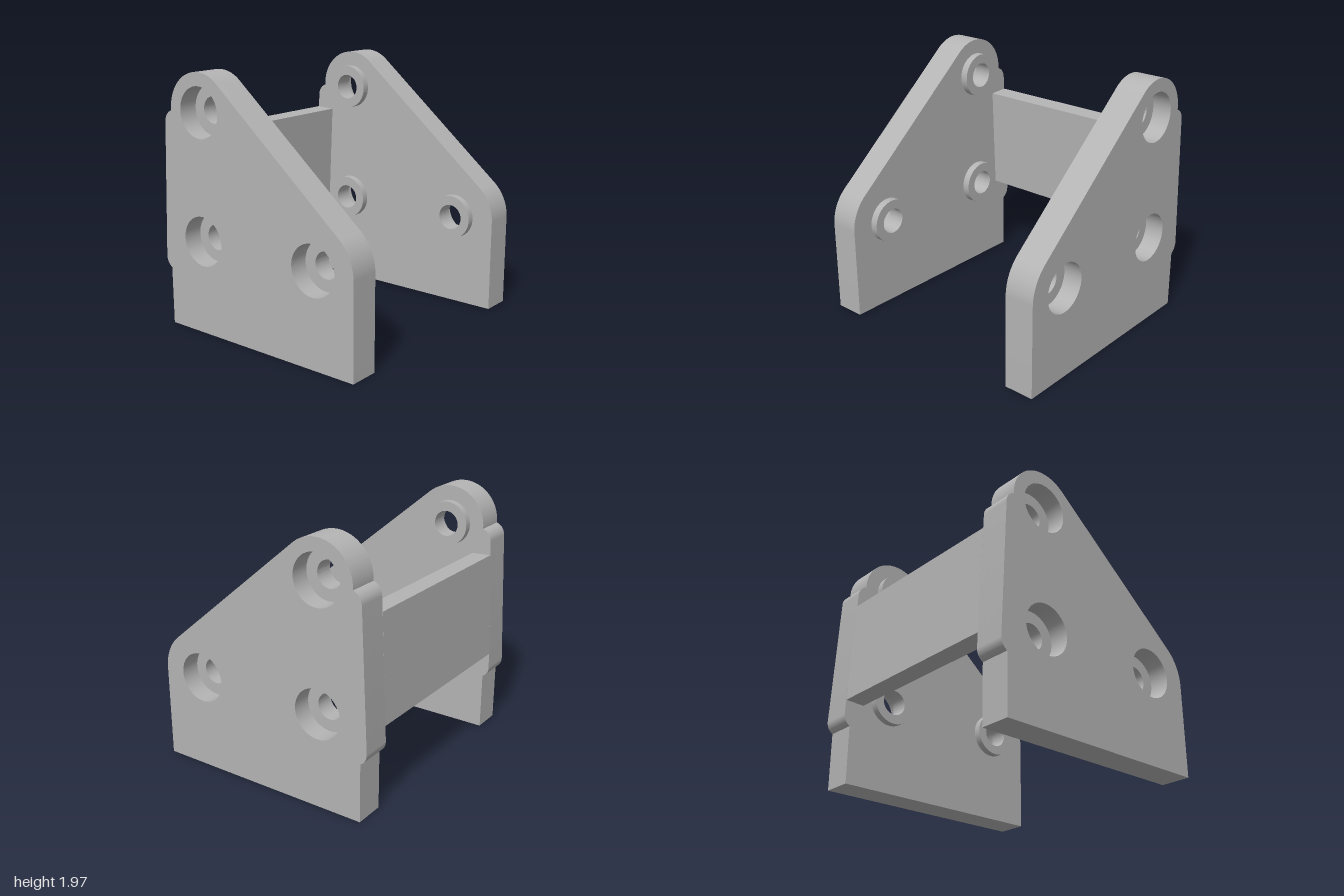
import * as THREE from 'three';
import { toCreasedNormals } from 'three/addons/utils/BufferGeometryUtils.js';

const HOLES = [[-0.5, 1.68], [-0.5, 0.72], [0.555, 0.72]];
const BORE = 0.1, COUNTERBORE = 0.19, BOSS = 0.175;
const OUTER = 1, STEP = 0.85, INNER = 0.765, BOSS_END = 0.705;
const TILT = 0.044; // lean of the rear edge, in radians

function circleHole(x, y, r) {
  return new THREE.Path().absarc(x, y, r, 0, Math.PI * 2, true);
}

// Side plate outline with rounded corners, a sloping edge and a raised rear rib
function plateOutline(holeRadius) {
  const slope = Math.atan2(0.767, 0.64);
  const s = new THREE.Shape();
  s.moveTo(-0.855, 0);
  s.lineTo(0.905, 0);
  s.absarc(0.555, 0.72, 0.35, 0, slope, false);
  s.absarc(-0.5, 1.68, 0.29, slope, Math.PI + 0.03, false);
  s.absarc(-0.76, 1.575, 0.098, 1.88, Math.PI - TILT, false);
  s.absarc(-0.81, 0.535, 0.096, Math.PI - TILT, Math.PI + 1.077, false);
  s.closePath();
  for (const [x, y] of HOLES) s.holes.push(circleHole(x, y, holeRadius));
  return s;
}

function ring(x, y) {
  const s = new THREE.Shape();
  s.absarc(x, y, BOSS, 0, Math.PI * 2, false);
  s.holes.push(circleHole(x, y, BORE));
  return s;
}

export function createModel() {
  const model = new THREE.Group();
  model.name = 'bracket';
  const grey = new THREE.MeshStandardMaterial({ color: 0xb4b4b4 });
  grey.name = 'grey';

  // Extrude a shape between two depths, on the front (+1) or back (-1) side
  const slab = (name, shape, near, far, side, parent) => {
    const geo = new THREE.ExtrudeGeometry(shape, { depth: far - near, bevelEnabled: false, curveSegments: 32 });
    geo.translate(0, 0, side > 0 ? near : -far);
    const mesh = new THREE.Mesh(toCreasedNormals(geo, 0.5), grey);
    mesh.name = name;
    parent.add(mesh);
  };

  for (const side of [1, -1]) {
    const plate = new THREE.Group();
    plate.name = side > 0 ? 'frontPlate' : 'backPlate';
    model.add(plate);
    // Two layers give the stepped holes, wide on the outside
    slab('outerLayer', plateOutline(COUNTERBORE), STEP, OUTER, side, plate);
    slab('innerLayer', plateOutline(BORE), INNER, STEP, side, plate);
    for (const [x, y] of HOLES) slab('boss', ring(x, y), BOSS_END, INNER, side, plate);
  }

  // Leaning cross panel joining the two plates
  const panel = new THREE.Shape([
    [-0.9, 0.652], [-0.745, 0.645], [-0.71, 1.463], [-0.864, 1.47],
  ].map(([x, y]) => new THREE.Vector2(x, y)));
  slab('crossPanel', panel, -INNER, INNER, 1, model);

  return model;
}
